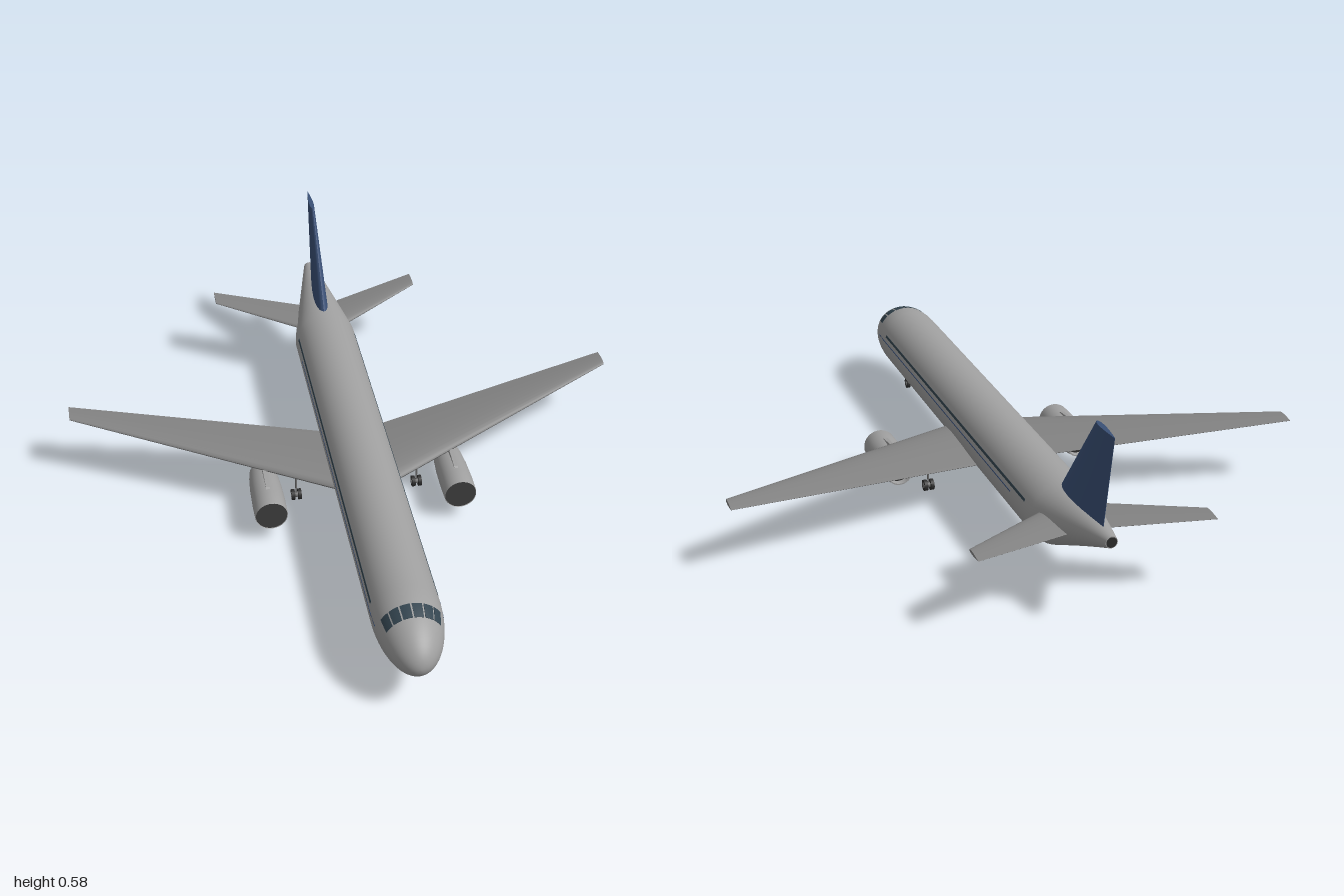
import * as THREE from 'three';
import { toCreasedNormals } from 'three/addons/utils/BufferGeometryUtils.js';

const paint = (color) => new THREE.MeshStandardMaterial({ color });
const grey = paint(0x9f9f9f), wingGrey = paint(0x838383), blue = paint(0x3a5076), glass = paint(0x33444f);
const dark = paint(0x2c2c2c), metal = paint(0x707070), intake = paint(0x404040);
const cowlGrey = paint(0x9f9f9f);
cowlGrey.side = THREE.DoubleSide;
const V = (x, y, z) => new THREE.Vector3(x, y, z);

// Creases at a larger scale so that small details keep distinct corners.
const crease = (g) => toCreasedNormals(g.scale(100, 100, 100), 0.7).scale(0.01, 0.01, 0.01);

// Skins a closed solid over a list of equal-length rings, facing outwards.
function loft(rings) {
  const n = rings[0].length, pts = rings.flat(), idx = [];
  for (let i = 0; i < rings.length - 1; i++) for (let j = 0; j < n; j++) {
    const a = i * n + j, b = i * n + (j + 1) % n;
    idx.push(a, b, a + n, b, b + n, a + n);
  }
  for (const end of [0, rings.length - 1]) {
    const c = rings[end].reduce((s, p) => s.add(p), V(0, 0, 0)).divideScalar(n);
    pts.push(c);
    for (let j = 0; j < n; j++) {
      const a = end * n + j, b = end * n + (j + 1) % n;
      idx.push(...(end ? [a, b, pts.length - 1] : [b, a, pts.length - 1]));
    }
  }
  let volume = 0;
  for (let i = 0; i < idx.length; i += 3) {
    volume += pts[idx[i]].dot(V(0, 0, 0).crossVectors(pts[idx[i + 1]], pts[idx[i + 2]]));
  }
  if (volume < 0) idx.reverse();
  const g = new THREE.BufferGeometry().setFromPoints(pts);
  g.setIndex(idx);
  return crease(g);
}

// Teardrop section: chord along z, full thickness along the given direction.
function airfoil(x, y, lead, trail, thick, up) {
  const ring = [], n = 28;
  for (let i = 0; i < n; i++) {
    const a = (i / n) * Math.PI * 2, t = (1 - Math.cos(a)) / 2;
    const h = Math.sign(Math.sin(a)) * thick * (1.48 * Math.sqrt(t) - 0.63 * t - 1.76 * t ** 2 + 1.42 * t ** 3 - 0.48 * t ** 4);
    ring.push(V(x, y, lead + (trail - lead) * t).addScaledVector(up, h));
  }
  return ring;
}

// Fuselage centre height and radius at z.
function body(z) {
  if (z > 0.77) {
    const t = Math.min(1, (z - 0.77) / 0.23);
    return { y: 0.19 - 0.015 * t * t, r: 0.104 * Math.sqrt(Math.max(0, 1 - t ** 2.1)) };
  }
  if (z < -0.65) {
    const t = (-0.65 - z) / 0.35, r = 0.104 - 0.086 * t;
    return { y: 0.294 - r - 0.006 * t ** 3, r };
  }
  return { y: 0.19, r: 0.104 };
}
function skin(z, angle, lift = 0) {
  const { y, r } = body(z);
  return V(Math.cos(angle) * (r + lift), y + Math.sin(angle) * (r + lift), z);
}

// Thin curved plate lying on the fuselage skin.
function plate(z0, z1, a0, a1, lift, steps = 6) {
  const rings = [];
  for (let i = 0; i <= steps; i++) {
    const z = z0 + (z1 - z0) * i / steps, ring = [];
    for (let j = 0; j <= 4; j++) ring.push(skin(z, a0 + (a1 - a0) * j / 4, lift));
    for (let j = 4; j >= 0; j--) ring.push(skin(z, a0 + (a1 - a0) * j / 4, -0.004));
    rings.push(ring);
  }
  return loft(rings);
}

export function createModel() {
  const model = new THREE.Group();
  const add = (name, geometry, material = grey, parent = model) => {
    const mesh = new THREE.Mesh(geometry, material);
    mesh.name = name;
    parent.add(mesh);
    return mesh;
  };

  // Fuselage: rounded nose, straight barrel, upswept tail cone
  const stations = [0.99995];
  for (let i = 1; i <= 14; i++) stations.push(0.77 + 0.23 * Math.cos(i / 14 * Math.PI / 2));
  stations.push(0.3, -0.2, -0.64, -0.66, -0.72, -0.8, -0.87, -0.94, -1);
  add('fuselage', loft(stations.map((z) =>
    Array.from({ length: 48 }, (_, j) => skin(z, j / 48 * Math.PI * 2)))));
  const exhaust = add('tailExhaust', new THREE.CircleGeometry(0.016, 20), dark);
  exhaust.rotation.y = Math.PI;
  exhaust.position.set(0, body(-1).y, -1.0005);

  // Cockpit windows
  for (let i = 0; i < 6; i++) {
    const a = 0.52 + i * 0.353;
    add('cockpitWindow', plate(0.845, 0.89, a + 0.025, a + 0.328, 0.0012), glass);
  }

  // Tail fin
  const side = V(1, 0, 0);
  add('tailFin', loft([airfoil(0, 0.25, -0.624, -0.937, 0.046, side),
    airfoil(0, 0.293, -0.66, -0.945, 0.043, side), airfoil(0, 0.58, -0.88, -1, 0.016, side)]), blue);

  // Landing gear leg with twin wheels
  function gear(name, x, z, top) {
    const leg = new THREE.Group();
    leg.name = name;
    leg.position.set(x, 0, z);
    add('strut', new THREE.CylinderGeometry(0.003, 0.003, top - 0.018, 10), metal, leg).position.y = (top + 0.018) / 2;
    const across = (part, radius, width, material, offset) => {
      const mesh = add(part, new THREE.CylinderGeometry(radius, radius, width, 20), material, leg);
      mesh.rotation.z = Math.PI / 2;
      mesh.position.set(offset, 0.018, 0);
    };
    across('axleAndHubs', 0.009, 0.034, metal, 0);
    for (const s of [1, -1]) across('wheel', 0.018, 0.011, dark, s * 0.0105);
    model.add(leg);
  }
  gear('noseGear', 0, 0.79, 0.11);

  // Nacelle profile as radius, z
  const nacelle = [[0.049, 0.16], [0.0505, 0.168], [0.052, 0.163], [0.053, 0.11], [0.051, 0.03],
    [0.046, -0.03], [0.041, -0.058], [0.037, -0.058], [0.034, -0.03]].map(([r, z]) => new THREE.Vector2(r, z));

  const up = V(0, 1, 0);
  for (const s of [1, -1]) {
    const tag = s > 0 ? 'left' : 'right';
    // Wings and tailplane
    add(tag + 'Wing', loft([airfoil(0, 0.133, 0.17, -0.16, 0.046, up),
      airfoil(s * 0.1, 0.142, 0.12, -0.182, 0.042, up), airfoil(s * 0.904, 0.216, -0.288, -0.36, 0.013, up)]), wingGrey);
    add(tag + 'Tailplane', loft([airfoil(0, 0.214, -0.63, -0.81, 0.026, up),
      airfoil(s * 0.357, 0.242, -0.857, -0.93, 0.01, up)]), wingGrey);

    // Cabin window band and thin cheat line
    const on = (a) => (s > 0 ? a : Math.PI - a);
    add(tag + 'WindowBand', plate(-0.605, 0.755, on(0.3), on(0.38), 0.0007, 16), glass);
    add(tag + 'Stripe', plate(-0.5, 0.83, on(0.125), on(0.16), 0.0006, 24), blue);

    // Engine: cowl, intake face, exhaust cone and pylon
    const engine = new THREE.Group();
    engine.name = tag + 'Engine';
    engine.position.set(s * 0.305, 0.094, 0);
    model.add(engine);
    add('cowl', crease(new THREE.LatheGeometry(nacelle, 32)), cowlGrey, engine).rotation.x = Math.PI / 2;
    add('intakeFace', new THREE.CircleGeometry(0.05, 32), intake, engine).position.z = 0.165;
    const back = add('exhaustFace', new THREE.CircleGeometry(0.036, 32), dark, engine);
    back.rotation.y = Math.PI;
    back.position.z = -0.04;
    const cone = add('exhaustCone', new THREE.ConeGeometry(0.02, 0.04, 20), metal, engine);
    cone.rotation.x = -Math.PI / 2;
    cone.position.z = -0.056;
    const pylon = new THREE.Shape([[0.11, 0.045], [0.09, 0.056], [0.01, 0.066], [-0.07, 0.064], [-0.07, 0.05], [-0.02, 0.03]]
      .map(([z, y]) => new THREE.Vector2(-z, y)));
    const blade = add('pylon', new THREE.ExtrudeGeometry(pylon, { depth: 0.012, bevelEnabled: false }), grey, engine);
    blade.rotation.y = Math.PI / 2;
    blade.position.x = -0.006;

    gear(tag + 'MainGear', s * 0.2, -0.02, 0.145);
  }
  return model;
}
